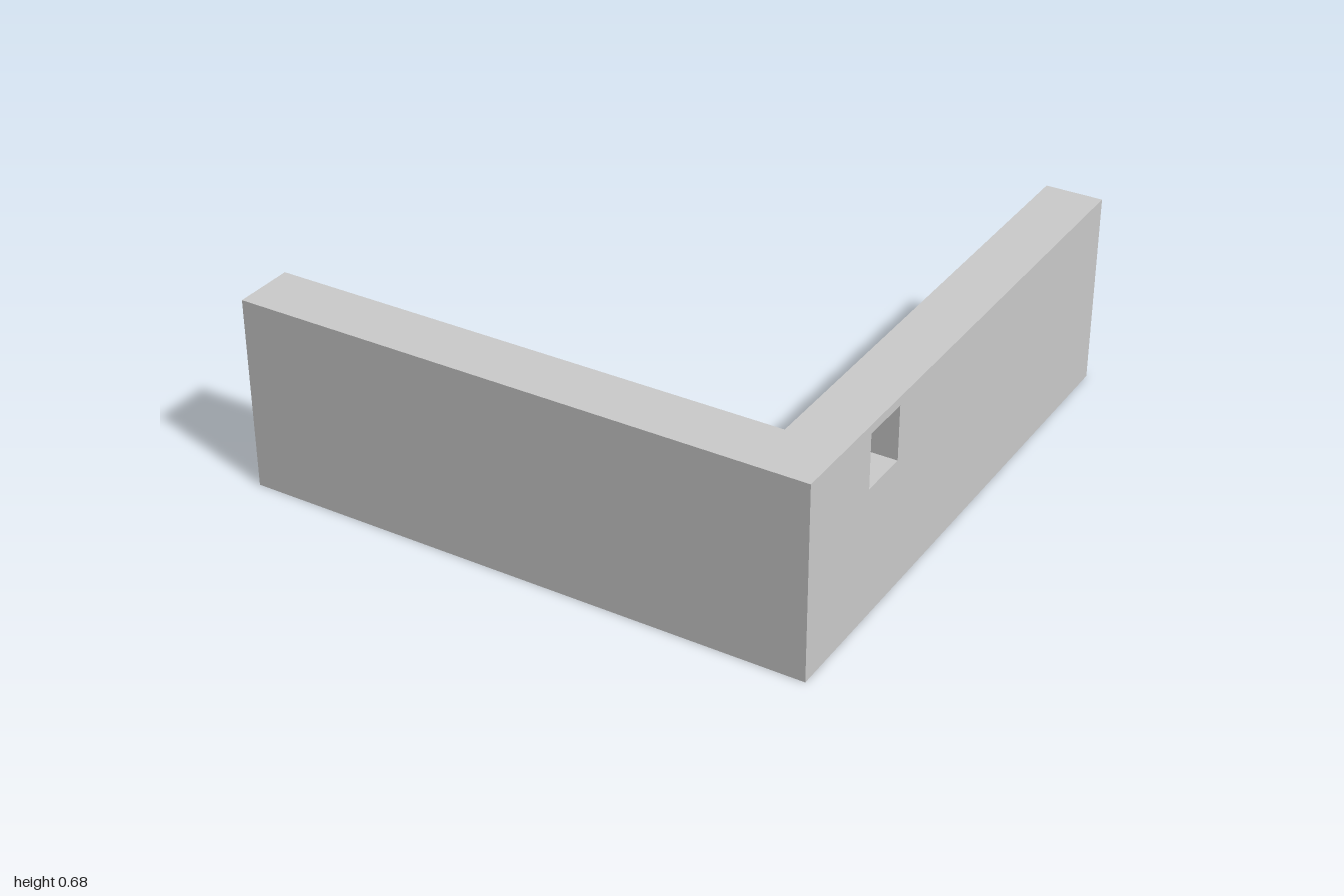
import * as THREE from 'three';
import { mergeGeometries } from 'three/addons/utils/BufferGeometryUtils.js';

const H = 0.68;      // wall height
const LEDGE = 0.075; // skirting height
const WINDOW = { z0: 0.46, z1: 0.64, y0: 0.46, y1: 0.65 };

// Wall section as [depth in from the outer face, height]; open underneath
const section = (wall, skirt) => [[0, 0], [0, H], [wall, H], [wall, LEDGE], [skirt, LEDGE], [skirt, 0]];
const FRONT = section(0.21, 0.24);
const SIDE = section(0.2, 0.23);

// Flat four-cornered faces, corners counter-clockwise from outside
function quads(list) {
  const pos = list.flatMap(([a, b, c, d]) => [a, b, c, a, c, d].flat());
  const g = new THREE.BufferGeometry();
  g.setAttribute('position', new THREE.Float32BufferAttribute(pos, 3));
  g.computeVertexNormals();
  return g;
}

// Upright flat outline, turned about y and moved into place
function panel(points, turn, x, z, hole) {
  const toV = (p) => new THREE.Vector2(...p);
  const shape = new THREE.Shape(points.map(toV));
  if (hole) shape.holes.push(new THREE.Path(hole.map(toV)));
  const g = new THREE.ShapeGeometry(shape).toNonIndexed();
  g.deleteAttribute('uv');
  return g.rotateY(turn).translate(x, 0, z);
}

const rect = (x0, x1, y0, y1) => [[x0, y0], [x1, y0], [x1, y1], [x0, y1]];

export function createModel() {
  const group = new THREE.Group();
  const material = new THREE.MeshStandardMaterial({ color: 0xcccccc, side: THREE.DoubleSide, flatShading: true });
  const add = (name, parts) => {
    const mesh = new THREE.Mesh(mergeGeometries(parts), material);
    mesh.name = name;
    group.add(mesh);
  };

  // Section points at the free end of each wall and at the mitred corner
  const start = FRONT.map(([d, y]) => [-1, y, 1 - d]);
  const corner = FRONT.map(([d, y], i) => [1 - SIDE[i][0], y, 1 - d]);
  const end = SIDE.map(([d, y]) => [1 - d, y, -1]);
  const strip = (a, b, i) => [a[i], b[i], b[i + 1], a[i + 1]];

  // Front wall: outer face, top, inner face and end cap
  add('frontWall', [
    quads([0, 1, 2].map((i) => strip(start, corner, i))),
    panel(FRONT.map(([d, y]) => [1 - d, y]), -Math.PI / 2, -1, 0),
  ]);

  // Side wall: top, end cap, and two faces pierced by the window
  const { z0, z1, y0, y1 } = WINDOW;
  add('sideWall', [
    quads([strip(corner, end, 1)]),
    panel(SIDE.map(([d, y]) => [d - 1, y]), Math.PI, 0, -1),
    panel(rect(-1, 1, 0, H), Math.PI / 2, 1, 0, rect(-z1, -z0, y0, y1)),
    panel(rect(-1, 0.79, LEDGE, H), -Math.PI / 2, 0.8, 0, rect(z0, z1, y0, y1)),
  ]);

  // Skirting along the inside foot of both walls
  add('skirting', [quads([3, 4].flatMap((i) => [strip(start, corner, i), strip(corner, end, i)]))]);

  // Window lining through the side wall
  const ring = [[y0, z1], [y0, z0], [y1, z0], [y1, z1]];
  add('windowLining', [quads(ring.map((p, i) => {
    const q = ring[(i + 1) % 4];
    return [[1, ...p], [1, ...q], [0.8, ...q], [0.8, ...p]];
  }))]);

  return group;
}
